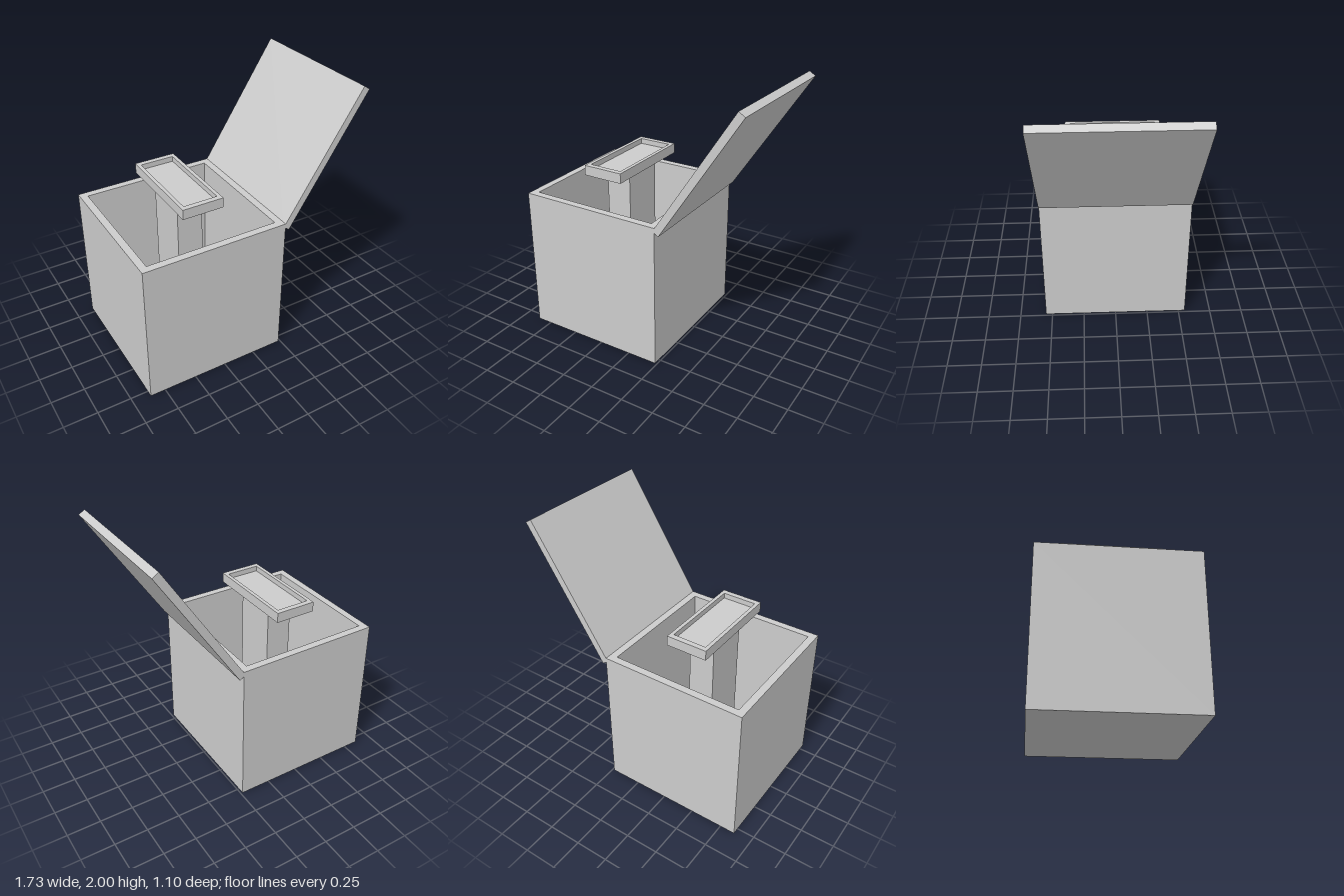
import * as THREE from 'three';

const material = new THREE.MeshStandardMaterial({ color: 0xcccccc, flatShading: true });

function add(parent, name, geometry, x, y, z = 0) {
  const mesh = new THREE.Mesh(geometry, material);
  mesh.name = name;
  mesh.position.set(x, y, z);
  parent.add(mesh);
  return mesh;
}

function rectangle(PathType, w, d) {
  return new PathType([[-1, -1], [1, -1], [1, 1], [-1, 1]]
    .map(([x, z]) => new THREE.Vector2(x * w / 2, z * d / 2)));
}

// Upright rectangular wall, open through the middle, standing on y = 0
function frame(w, d, innerW, innerD, height) {
  const shape = rectangle(THREE.Shape, w, d);
  shape.holes.push(rectangle(THREE.Path, innerW, innerD));
  return new THREE.ExtrudeGeometry(shape, { depth: height, bevelEnabled: false }).rotateX(-Math.PI / 2);
}

// Block standing on y = 0 whose top may be smaller than its bottom
function block(w, h, d, topW = w, topD = d) {
  const geometry = new THREE.BoxGeometry(w, h, d).translate(0, h / 2, 0);
  const p = geometry.attributes.position;
  for (let i = 0; i < p.count; i++) {
    if (p.getY(i) > h / 2) p.setXYZ(i, p.getX(i) * topW / w, h, p.getZ(i) * topD / d);
  }
  geometry.computeVertexNormals();
  return geometry;
}

export function createModel() {
  const model = new THREE.Group();
  model.name = 'openBoxWithStand';
  const cx = -0.315, wall = 0.055;

  // Hollow box
  const box = new THREE.Group();
  box.name = 'box';
  model.add(box);
  add(box, 'boxWalls', frame(1.1, 1.1, 0.99, 0.99, 1.1), cx, 0);
  add(box, 'boxFloor', block(0.99, wall, 0.99), cx, 0);

  // Stand rising from the floor: sloped base, plinth, post and tray
  const stand = new THREE.Group();
  stand.name = 'stand';
  model.add(stand);
  add(stand, 'slopedBase', block(0.99, 0.06, 0.99, 0.61, 0.61), cx, wall);
  add(stand, 'plinth', block(0.425, 0.08, 0.53), cx, 0.115);
  add(stand, 'post', block(0.195, 1.07, 0.34), cx, 0.195);
  add(stand, 'trayBottom', block(0.255, 0.035, 0.65), cx, 1.265);
  add(stand, 'trayRim', frame(0.31, 0.73, 0.255, 0.65, 0.075), cx, 1.265);

  // Lid swung open over the left edge
  const lid = add(model, 'lid', new THREE.BoxGeometry(1.1, wall, 1.1), 0.54, 1.522);
  lid.rotation.z = THREE.MathUtils.degToRad(57.3);

  return model;
}
